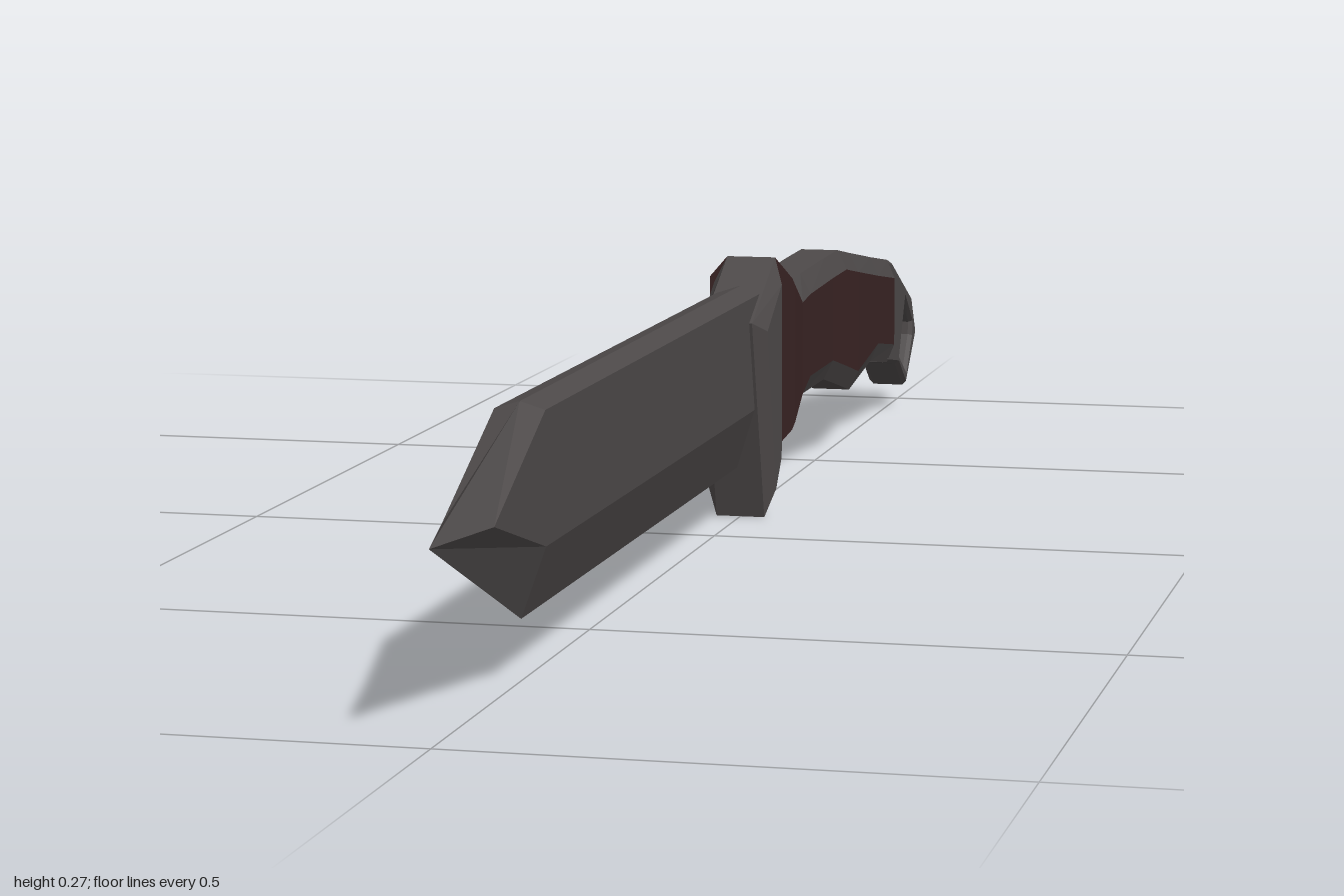
import * as THREE from 'three';

const steel = new THREE.MeshStandardMaterial({ color: 0x4d4949 });
steel.name = 'dark steel';
const wood = new THREE.MeshStandardMaterial({ color: 0x3a2424 });
wood.name = 'dark red grip';
steel.flatShading = wood.flatShading = true;

// Flat faces given for the +x half, mirrored to the other half
function mirrored(name, polygons, material) {
  const pos = [];
  for (const p of polygons) {
    for (let i = 1; i < p.length - 1; i++) {
      const tri = [p[0], p[i], p[i + 1]];
      for (const [x, y, z] of tri) pos.push(x, y, z);
      for (const [x, y, z] of tri.reverse()) pos.push(-x, y, z);
    }
  }
  const g = new THREE.BufferGeometry();
  g.setAttribute('position', new THREE.Float32BufferAttribute(pos, 3));
  g.computeVertexNormals();
  const mesh = new THREE.Mesh(g, material);
  mesh.name = name;
  return mesh;
}

// Side outline in (z, y), extruded symmetrically across x with a chamfer
function sidePlate(name, outline, half, bevel, inset, hole) {
  const toPoints = (list) => list.map(([z, y]) => new THREE.Vector2(z, y));
  const shape = new THREE.Shape(toPoints(outline));
  if (hole) shape.holes.push(new THREE.Path(toPoints(hole)));
  const depth = 2 * (half - bevel);
  const g = new THREE.ExtrudeGeometry(shape, {
    depth, bevelEnabled: true, bevelSegments: 1,
    bevelThickness: bevel, bevelSize: inset, bevelOffset: -inset,
  });
  g.translate(0, 0, -depth / 2);
  g.rotateY(-Math.PI / 2);
  const mesh = new THREE.Mesh(g, steel);
  mesh.name = name;
  return mesh;
}

// Strip of faces between neighbouring stations, profile points from..to
function strips(stations, from, to) {
  const faces = [];
  for (let i = 0; i < stations.length - 1; i++) {
    const a = stations[i], b = stations[i + 1];
    for (let j = from; j < to; j++) faces.push([a[j], b[j], b[j + 1], a[j + 1]]);
  }
  return faces;
}

function makeBlade() {
  const section = (z) => [[0, 0.247, z], [0.023, 0.24, z], [0.023, 0.12, z], [0, 0.055, z]];
  const root = section(-0.12), shoulder = section(0.73);
  const [spine, upper, lower, edge] = shoulder;
  const cheek = [0.023, 0.165, 0.89], tip = [0, 0.165, 1];
  return mirrored('blade', [
    ...strips([root, shoulder], 0, 3),
    [upper, cheek, lower],
    [spine, tip, cheek], [spine, cheek, upper],
    [lower, cheek, tip], [lower, tip, edge],
    root,
  ], steel);
}

function makeHandle() {
  // z, top, bottom, half width at the grip
  const rows = [
    [-0.82, 0.196, 0.071, 0.03], [-0.715, 0.211, 0.086, 0.031],
    [-0.59, 0.23, 0.07, 0.032], [-0.52, 0.241, 0.086, 0.032],
    [-0.447, 0.24, 0.102, 0.032], [-0.32, 0.237, 0.102, 0.033],
    [-0.26, 0.235, 0.09, 0.037], [-0.19, 0.262, 0.07, 0.044],
    [-0.17, 0.272, 0.065, 0.045],
  ];
  const chamfer = 0.022;
  const stations = rows.map(([z, top, bottom, w]) => {
    const rim = z > -0.2 ? 0.026 : 0.021;
    return [[0, top, z], [rim, top, z], [w, top - chamfer, z],
      [w, bottom + chamfer, z], [rim, bottom, z], [0, bottom, z]];
  });
  const group = new THREE.Group();
  group.name = 'handle';
  group.add(
    mirrored('handleFrame', [...strips(stations, 0, 2), ...strips(stations, 3, 5), stations[0]], steel),
    mirrored('gripPanels', [...strips(stations, 2, 3), [...stations.at(-1)].reverse()], wood),
  );
  return group;
}

export function createModel() {
  const model = new THREE.Group();
  model.name = 'knife';

  const guard = sidePlate('guard',
    [[-0.06, 0.215], [-0.17, 0.272], [-0.178, 0.05], [-0.12, 0]], 0.037, 0.011, 0.022);

  // Pommel with a lanyard opening
  const pommel = sidePlate('pommel',
    [[-0.81, 0.197], [-0.84, 0.193], [-0.97, 0.134], [-1, 0.086], [-0.935, 0.027], [-0.887, 0.06], [-0.81, 0.072]],
    0.023, 0.005, 0.004,
    [[-0.928, 0.136], [-0.972, 0.101], [-0.97, 0.086], [-0.937, 0.046], [-0.893, 0.07]]);

  model.add(makeBlade(), guard, makeHandle(), pommel);
  return model;
}
